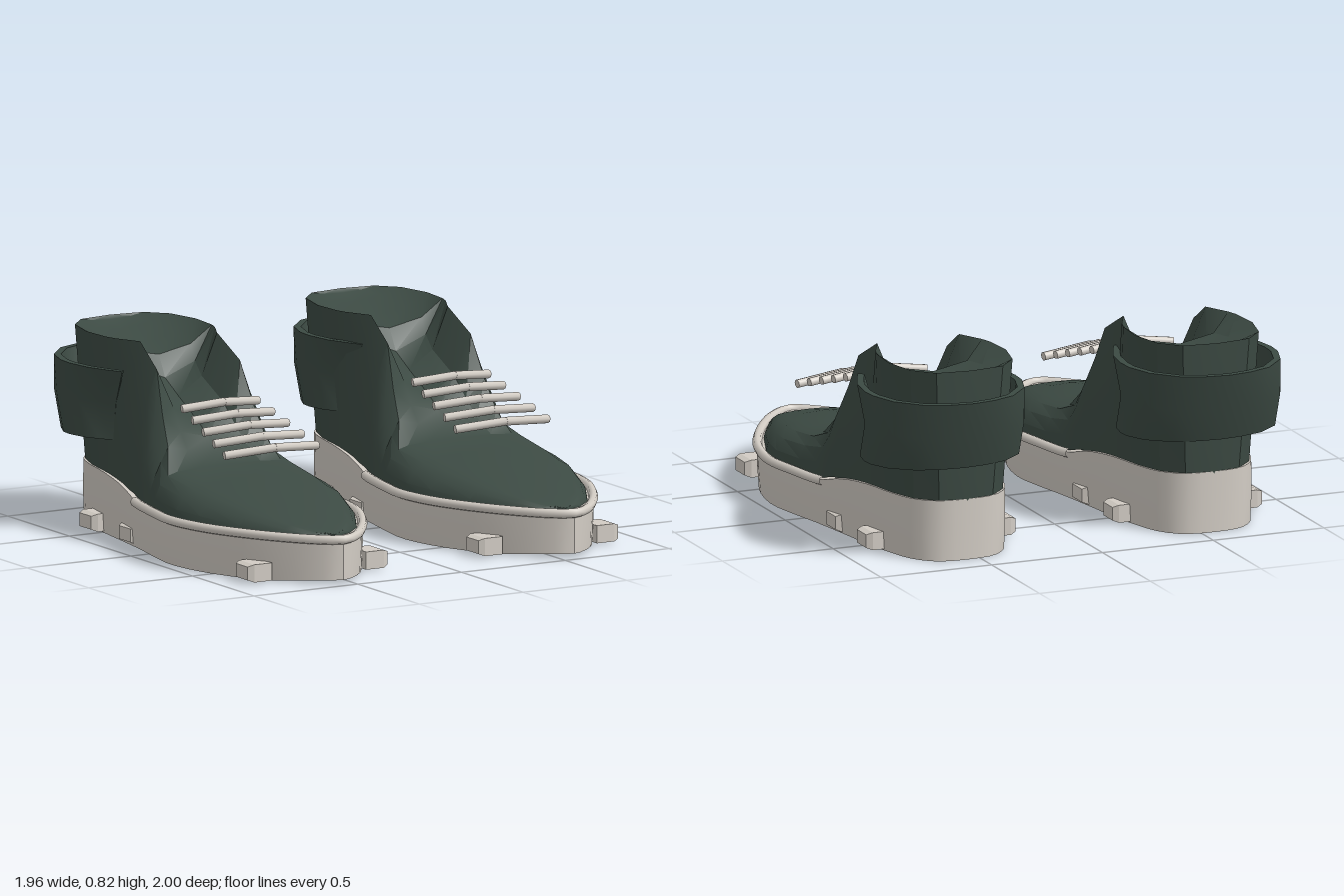
import * as THREE from 'three';
import { toCreasedNormals } from 'three/addons/utils/BufferGeometryUtils.js';

const V = (x, y, z) => new THREE.Vector3(x, y, z);
const { lerp, smoothstep } = THREE.MathUtils;

// Skin a list of equally long point rows
function loft(rows, closed, crease) {
  const n = rows[0].length, index = [];
  for (let i = 0; i < rows.length - 1; i++) {
    for (let j = 0; j < (closed ? n : n - 1); j++) {
      const k = (j + 1) % n;
      const a = i * n + j, b = i * n + k, c = b + n, d = a + n;
      index.push(a, b, c, a, c, d);
    }
  }
  const geo = new THREE.BufferGeometry().setFromPoints(rows.flat());
  geo.setIndex(index);
  return toCreasedNormals(geo, crease);
}

// Sole plan from toe to heel: half width, z
const soleHalf = [[0, 0.98], [0.09, 0.925], [0.2, 0.79], [0.3, 0.62], [0.37, 0.45], [0.403, 0.25],
  [0.38, 0.08], [0.345, -0.1], [0.315, -0.3], [0.287, -0.5], [0.255, -0.65], [0.21, -0.78],
  [0.13, -0.86], [0, -0.88]];
const soleTop = (z) => 0.19 + 0.07 * smoothstep(-z, 0.1, 0.42);
const solePoint = (s) => ([x, z]) => V(s * x, soleTop(z), z);
const soleCurve = new THREE.CatmullRomCurve3([
  ...soleHalf.map(solePoint(1)),
  ...soleHalf.slice(1, -1).reverse().map(solePoint(-1)),
], true, 'centripetal');

// The bead runs round the toe and ends at the waist
const beadHalf = [...soleHalf.slice(0, 8), [0.337, -0.15]];
const beadCurve = new THREE.CatmullRomCurve3([
  ...beadHalf.slice(1).reverse().map(solePoint(-1)),
  ...beadHalf.map(solePoint(1)),
], false, 'centripetal');

function soleGeometry() {
  const outline = soleCurve.getPoints(64).slice(0, -1);
  const flat = (y) => outline.map(() => V(0, y, 0));
  const bottom = outline.map((p) => V(p.x * 0.98, 0.02 * smoothstep(p.z, 0.7, 0.98), p.z));
  const middle = outline.map((p) => V(p.x * 1.005, 0.11, p.z));
  return loft([flat(0), bottom, middle, outline, flat(0.2)], true, 0.6);
}

// Upper sections: z, base half width, base y, edge half width, edge y, centre y
const upperRows = [
  [0.91, 0, 0.19, 0, 0.2, 0.2],
  [0.87, 0.095, 0.18, 0.05, 0.21, 0.213],
  [0.78, 0.185, 0.18, 0.11, 0.235, 0.24],
  [0.6, 0.285, 0.18, 0.17, 0.265, 0.28],
  [0.4, 0.36, 0.18, 0.21, 0.3, 0.316],
  [0.25, 0.388, 0.18, 0.23, 0.317, 0.335],
  [0.05, 0.368, 0.18, 0.25, 0.345, 0.355],
  [-0.05, 0.34, 0.19, 0.235, 0.43, 0.4],
  [-0.12, 0.325, 0.2, 0.22, 0.55, 0.44],
  [-0.2, 0.312, 0.22, 0.2, 0.73, 0.49],
  [-0.36, 0.292, 0.24, 0.185, 0.82, 0.57],
  [-0.47, 0.278, 0.24, 0.24, 0.82, 0.63],
  [-0.52, 0.272, 0.24, 0.255, 0.82, 0.72],
  [-0.65, 0.245, 0.24, 0.265, 0.82, 0.745],
  [-0.78, 0.2, 0.24, 0.23, 0.82, 0.78],
  [-0.86, 0.12, 0.24, 0.15, 0.82, 0.805],
  [-0.88, 0, 0.24, 0, 0.82, 0.82],
];

function upperGeometry() {
  const rows = upperRows.map(([z, w, base, ex, ey, cy]) => {
    const half = [];
    const dome = ey < 0.4;
    // slight outward swell where the flaps rise
    const swell = 0.025 * smoothstep(-z, 0, 0.1) * smoothstep(z, -0.5, -0.3);
    for (let k = 0; k <= 4; k++) {
      // domed over the toes, straight at the ankle
      const t = k / 4, a = t * Math.PI / 2;
      const x = lerp(ex, w, dome ? Math.cos(a) : 1 - t) + swell * Math.sin(t * Math.PI);
      half.push([x, lerp(base, ey, dome ? Math.sin(a) : t)]);
    }
    half.push([ex * 0.6, lerp(cy, ey, 0.3)]);
    const lean = 0.07 * smoothstep(-z, 0.5, 0.86);
    const at = (s) => ([x, y]) => V(s * x, y, z - lean * (y - 0.25));
    return [...half.map(at(-1)), at(1)([0, cy]), ...half.slice().reverse().map(at(1))];
  });
  return loft(rows, false, 0.45);
}

// Loose band wrapped round the heel, wider at its top
function collarGeometry() {
  const half = [[0.25, -0.36], [0.285, -0.43], [0.322, -0.52], [0.34, -0.64], [0.335, -0.72],
    [0.295, -0.84], [0.2, -0.945], [0.1, -0.985], [0, -1]];
  const path = [...half, ...half.slice(0, -1).reverse().map(([x, z]) => [-x, z])];
  // levels: y, front z, back z
  const levels = [[0.7, -0.36, -1], [0.55, -0.48, -0.955], [0.4, -0.43, -0.9]];
  const rows = path.map(([x, z]) => {
    const t = (z + 0.36) / -0.64;
    const outer = levels.map(([y, f, b]) => V(x, y, lerp(f, b, t)));
    const inner = outer.map((p) => {
      const d = V(-p.x, 0, -0.62 - p.z).setLength(0.03);
      return p.clone().add(d);
    }).reverse();
    return [...outer, ...inner];
  });
  // close both ends
  const cap = (row) => {
    const c = row.reduce((s, p) => s.add(p), V(0, 0, 0)).divideScalar(row.length);
    return row.map(() => c.clone());
  };
  return loft([cap(rows[0]), ...rows, cap(rows[rows.length - 1])], true, 0.6);
}

// Stud block with its outer (+x) face chamfered
function studGeometry(depth) {
  const geo = new THREE.BoxGeometry(depth, 0.075, 0.12, 2, 1, 1);
  const p = geo.attributes.position;
  for (let i = 0; i < p.count; i++) {
    const x = p.getX(i);
    if (x > 0.01) p.setXYZ(i, x, p.getY(i) * 0.75, p.getZ(i) * 0.8);
    else if (x > -0.01) p.setX(i, depth / 2 - 0.025);
  }
  return toCreasedNormals(geo, 0.2);
}

function laceGeometry(i, side) {
  const y = 0.485 + i * 0.031, z = 0.423 - i * 0.103, w = 0.22 - i * 0.01;
  const a = V(0, y, z), b = V(side * w, y - 0.018, z - 0.036);
  const geo = new THREE.CylinderGeometry(0.018, 0.018, a.distanceTo(b) + 0.008, 8);
  const dir = b.clone().sub(a).normalize();
  geo.applyQuaternion(new THREE.Quaternion().setFromUnitVectors(V(0, 1, 0), dir));
  const mid = a.add(b).multiplyScalar(0.5);
  return geo.translate(mid.x, mid.y, mid.z);
}

export function createModel() {
  const leather = new THREE.MeshStandardMaterial({ color: 0x3c4a43, side: THREE.DoubleSide });
  leather.name = 'dark green leather';
  const rubber = new THREE.MeshStandardMaterial({ color: 0xd2ccc4 });
  rubber.name = 'pale grey rubber';

  const model = new THREE.Group();
  model.name = 'shoes';
  for (const [name, outward] of [['rightShoe', -1], ['leftShoe', 1]]) {
    const shoe = new THREE.Group();
    shoe.name = name;
    shoe.position.x = outward * 0.556;
    const add = (part, geo, material) => {
      const mesh = new THREE.Mesh(geo, material);
      mesh.name = part;
      shoe.add(mesh);
      return mesh;
    };
    add('sole', soleGeometry(), rubber);
    add('soleBead', new THREE.TubeGeometry(beadCurve, 56, 0.02, 8), rubber);
    add('upper', upperGeometry(), leather);
    // the collar sits a little towards the outer side
    add('heelCollar', collarGeometry(), leather).position.x = outward * 0.022;

    for (const side of [1, -1]) {
      // studs along the foot of the sole: z, depth
      for (const [z, depth] of [[0.72, 0.11], [-0.23, 0.1], [-0.55, 0.1]]) {
        const stud = add('stud', studGeometry(depth), rubber);
        stud.position.set(side * (0.337 - depth / 2), 0.044, z);
        stud.rotation.y = side > 0 ? 0 : Math.PI;
      }
      // chevron laces standing above the toe
      for (let i = 0; i < 5; i++) add('lace', laceGeometry(i, side), rubber);
    }
    model.add(shoe);
  }
  return model;
}
